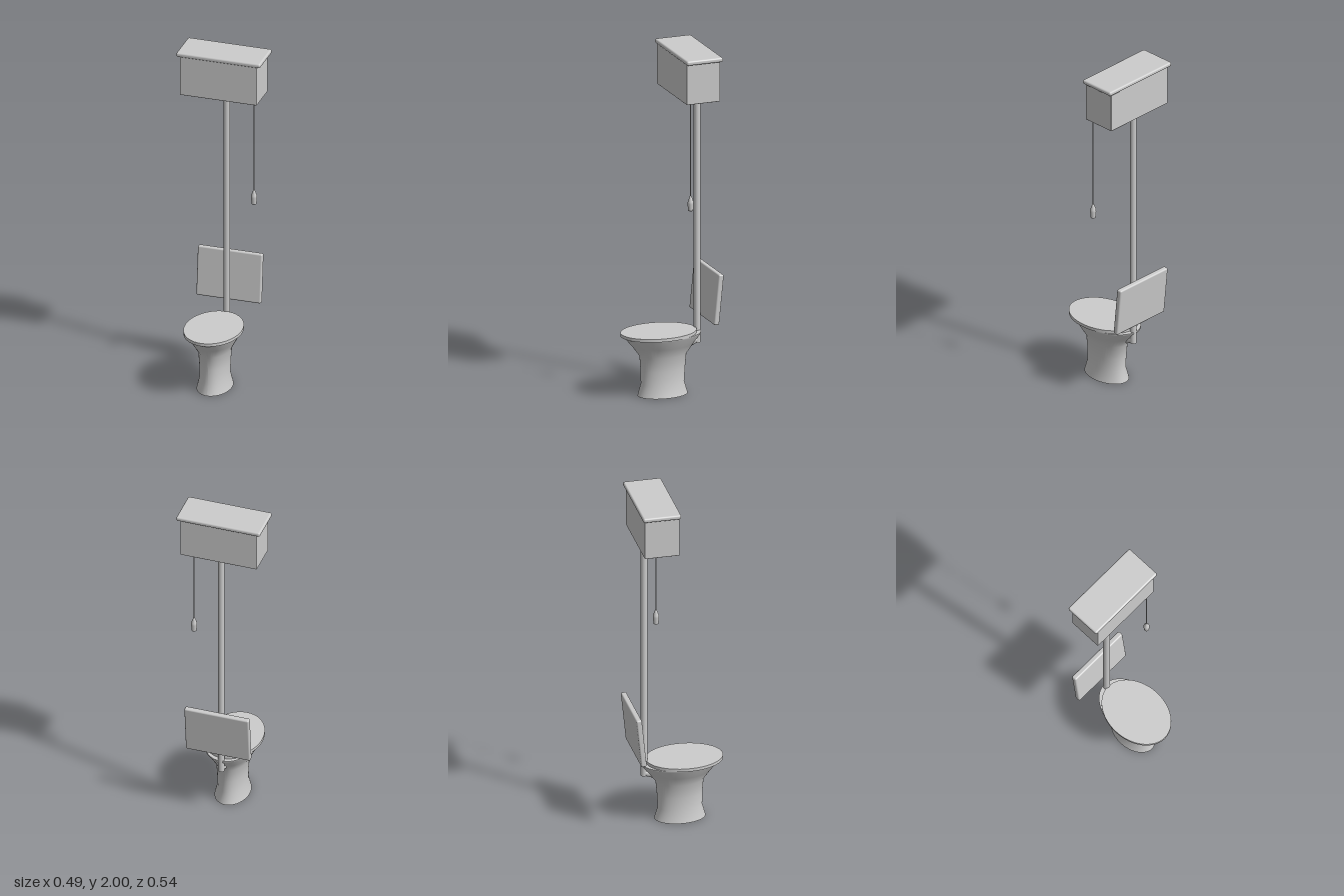
import * as THREE from 'three';
import { RoundedBoxGeometry } from 'three/addons/geometries/RoundedBoxGeometry.js';

const ceramic = new THREE.MeshStandardMaterial({ color: 0xcccccc });
ceramic.name = 'light grey';

function add(group, name, geometry, x = 0, y = 0, z = 0) {
  const mesh = new THREE.Mesh(geometry, ceramic);
  mesh.name = name;
  mesh.position.set(x, y, z);
  group.add(mesh);
  return mesh;
}

// Elliptical loft; each section is [y, half width, back z, front z].
function loft(sections, steps, sides) {
  const geo = new THREE.CylinderGeometry(1, 1, 1, sides, steps);
  const pos = geo.attributes.position;
  const last = sections.length - 1;
  const sample = (t, k) => {
    const i = Math.min(Math.floor(t * last), last - 1), f = t * last - i;
    return THREE.MathUtils.lerp(sections[i][k], sections[i + 1][k], f);
  };
  for (let i = 0; i < pos.count; i++) {
    const t = pos.getY(i) + 0.5;
    const back = sample(t, 2), front = sample(t, 3);
    pos.setXYZ(i, pos.getX(i) * sample(t, 1), sample(t, 0),
      (front + back) / 2 + pos.getZ(i) * (front - back) / 2);
  }
  geo.computeVertexNormals();
  return geo;
}

export function createModel() {
  const model = new THREE.Group();
  model.name = 'highTankToilet';

  // Flared bowl on a waisted pedestal
  add(model, 'bowl', loft([
    [0, 0.098, -0.12, 0.172],
    [0.07, 0.081, -0.1, 0.153],
    [0.15, 0.083, -0.105, 0.155],
    [0.232, 0.089, -0.113, 0.161],
    [0.29, 0.12, -0.153, 0.203],
    [0.345, 0.149, -0.198, 0.25],
    [0.353, 0.149, -0.198, 0.25],
  ], 6, 48));

  // Closed oval seat
  const seat = new THREE.CylinderGeometry(1, 1, 0.018, 48);
  seat.scale(0.163, 1, 0.22);
  add(model, 'seat', seat, 0, 0.362, 0.051);

  // Flush pipe and the short outlet into the back of the bowl
  const pipeZ = -0.181, pipeR = 0.019;
  add(model, 'flushPipe', new THREE.CylinderGeometry(pipeR, pipeR, 1.47, 20), 0, 1.015, pipeZ);
  const outletPath = new THREE.LineCurve3(
    new THREE.Vector3(0, 0.298, pipeZ), new THREE.Vector3(0, 0.267, -0.1));
  add(model, 'pipeOutlet', new THREE.TubeGeometry(outletPath, 1, pipeR, 20));
  add(model, 'pipeElbow', new THREE.SphereGeometry(pipeR, 20, 12), 0, 0.298, pipeZ);

  // Leaning back rest
  const rest = add(model, 'backRest', new RoundedBoxGeometry(0.38, 0.293, 0.032, 3, 0.009), 0, 0.57, -0.239);
  rest.rotation.x = -0.1;

  // High cistern with an overhanging lid
  add(model, 'cistern', new RoundedBoxGeometry(0.452, 0.24, 0.2, 2, 0.004), 0, 1.86, -0.13);
  add(model, 'cisternLid', new RoundedBoxGeometry(0.494, 0.026, 0.218, 4, 0.01), 0, 1.987, -0.133);

  // Pull cord with a turned handle
  const pull = new THREE.Group();
  pull.name = 'pullCord';
  pull.position.set(0.2, 0, -0.063);
  add(pull, 'cord', new THREE.CylinderGeometry(0.003, 0.003, 0.56, 8), 0, 1.465, 0);
  const profile = [[0, 1.115], [0.014, 1.115], [0.014, 1.116], [0.0175, 1.155], [0.016, 1.168], [0.007, 1.194], [0.005, 1.2], [0, 1.2]];
  add(pull, 'handle', new THREE.LatheGeometry(profile.map(([r, y]) => new THREE.Vector2(r, y)), 20));
  model.add(pull);

  return model;
}
